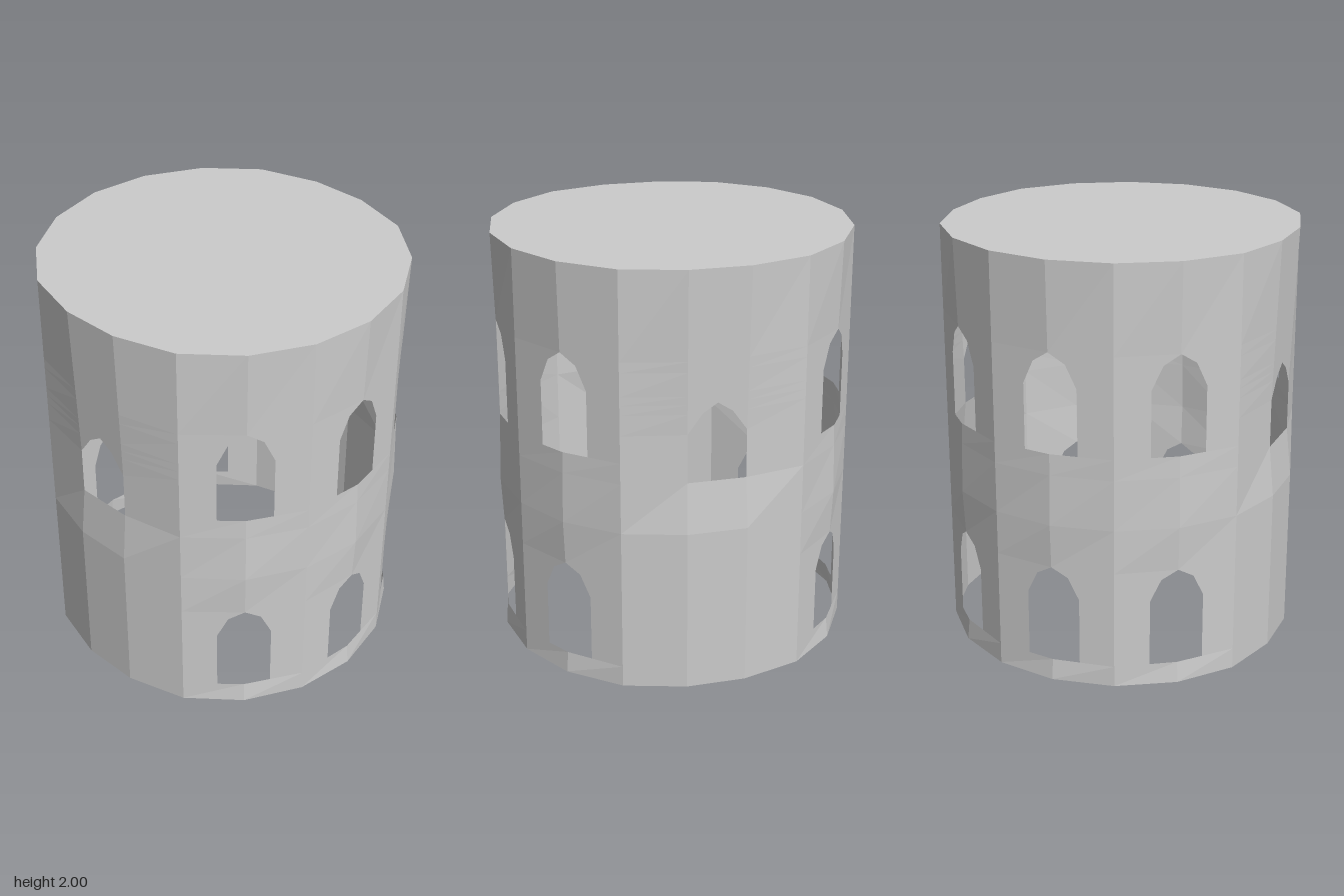
import * as THREE from 'three';

const HEIGHT = 2;
// heights of each opening: sill, spring of arch, shoulder, apex
const OPENINGS = {
  window: [[0.1, 0.42, 0.525, 0.57], [1.12, 1.43, 1.54, 1.59]],
  gate: [[1.02, 1.25, 1.345, 1.39]],
};
// half width of an opening as a share of the panel beside it
const HALF_WIDTH = { window: 0.44, gate: 1 };
const SHOULDER = { window: 0.6, gate: 0.5 };
// [height, radial scale]: the wall dips slightly where it is pierced
const DIP = {
  plain: [[0, 1], [HEIGHT, 1]],
  window: [[0, 1], [0.1, 0.988], [0.57, 0.988], [0.78, 1], [1.12, 0.988], [1.59, 0.988], [HEIGHT, 1]],
  gate: [[0, 1], [0.78, 1], [1.02, 0.97], [1.25, 0.97], [HEIGHT, 1]],
};
DIP.gateSide = DIP.gate;

const ROWS = [0, 0.78, HEIGHT, ...OPENINGS.window.flat(), ...OPENINGS.gate.flat()].sort((a, b) => a - b);

// straight-line lookup in a list of [key, value]
function lookup(list, y) {
  for (let i = 1; i < list.length; i++) {
    const [y0, v0] = list[i - 1], [y1, v1] = list[i];
    if (y <= y1) return v0 + (v1 - v0) * (y - y0) / (y1 - y0);
  }
  return list[list.length - 1][1];
}

// upright folds around the wall, plus the centre lines of the front and back panels
function makeColumns() {
  const columns = [];
  for (let k = 0; k < 18; k++) {
    const deg = k * 20, a = THREE.MathUtils.degToRad(deg);
    const x = 0.85 * Math.cos(a), z = 0.85 * Math.sin(a);
    const gateSide = Math.abs(x) < 0.2;
    const windowed = [0, 40, 140, 180, 220, 320].includes(deg);
    columns.push(gateSide
      ? { x: Math.sign(x) * 0.14, z: Math.sign(z) * 0.82, kind: 'gateSide' }
      : { x, z, kind: windowed ? 'window' : 'plain' });
    if (deg === 80 || deg === 260) columns.push({ x: 0, z: Math.sign(z) * 0.82, kind: 'gate' });
  }
  return columns;
}

function columnPoint(c, y) {
  const s = lookup(DIP[c.kind], y);
  return new THREE.Vector3(c.x * s, y, c.z * s);
}

// share of the panel cut away beside a column at height y, for the band around yMid
function cut(c, y, yMid) {
  const o = (OPENINGS[c.kind] || []).find(([sill, , , apex]) => yMid > sill && yMid < apex);
  if (!o) return 0;
  const w = HALF_WIDTH[c.kind];
  return lookup([[o[0], w], [o[1], w], [o[2], w * SHOULDER[c.kind]], [o[3], 0]], y);
}

function makeMesh(name, points) {
  const geometry = new THREE.BufferGeometry().setFromPoints(points);
  geometry.computeVertexNormals();
  const material = new THREE.MeshStandardMaterial({
    color: 0xcccccc, flatShading: true, side: THREE.DoubleSide,
  });
  const mesh = new THREE.Mesh(geometry, material);
  mesh.name = name;
  return mesh;
}

export function createModel() {
  const group = new THREE.Group();
  group.name = 'roundTower';
  const columns = makeColumns();
  const wall = [], roof = [];
  const centre = new THREE.Vector3(0, HEIGHT, 0);

  columns.forEach((a, i) => {
    const b = columns[(i + 1) % columns.length];
    // wall panel, in bands that stop at the openings
    for (let r = 1; r < ROWS.length; r++) {
      const yMid = (ROWS[r - 1] + ROWS[r]) / 2;
      const ends = [ROWS[r - 1], ROWS[r]].map((y) => {
        const pa = columnPoint(a, y), pb = columnPoint(b, y);
        return [pa.clone().lerp(pb, cut(a, y, yMid)), pb.clone().lerp(pa, cut(b, y, yMid))];
      });
      const [[a0, b0], [a1, b1]] = ends;
      if (a0.distanceTo(b0) > 1e-5) wall.push(b0, a0, a1);
      if (a1.distanceTo(b1) > 1e-5) wall.push(b0, a1, b1);
    }
    // wedge of the flat roof
    roof.push(centre, columnPoint(b, HEIGHT), columnPoint(a, HEIGHT));
  });

  group.add(makeMesh('wall', wall), makeMesh('roof', roof));
  return group;
}
